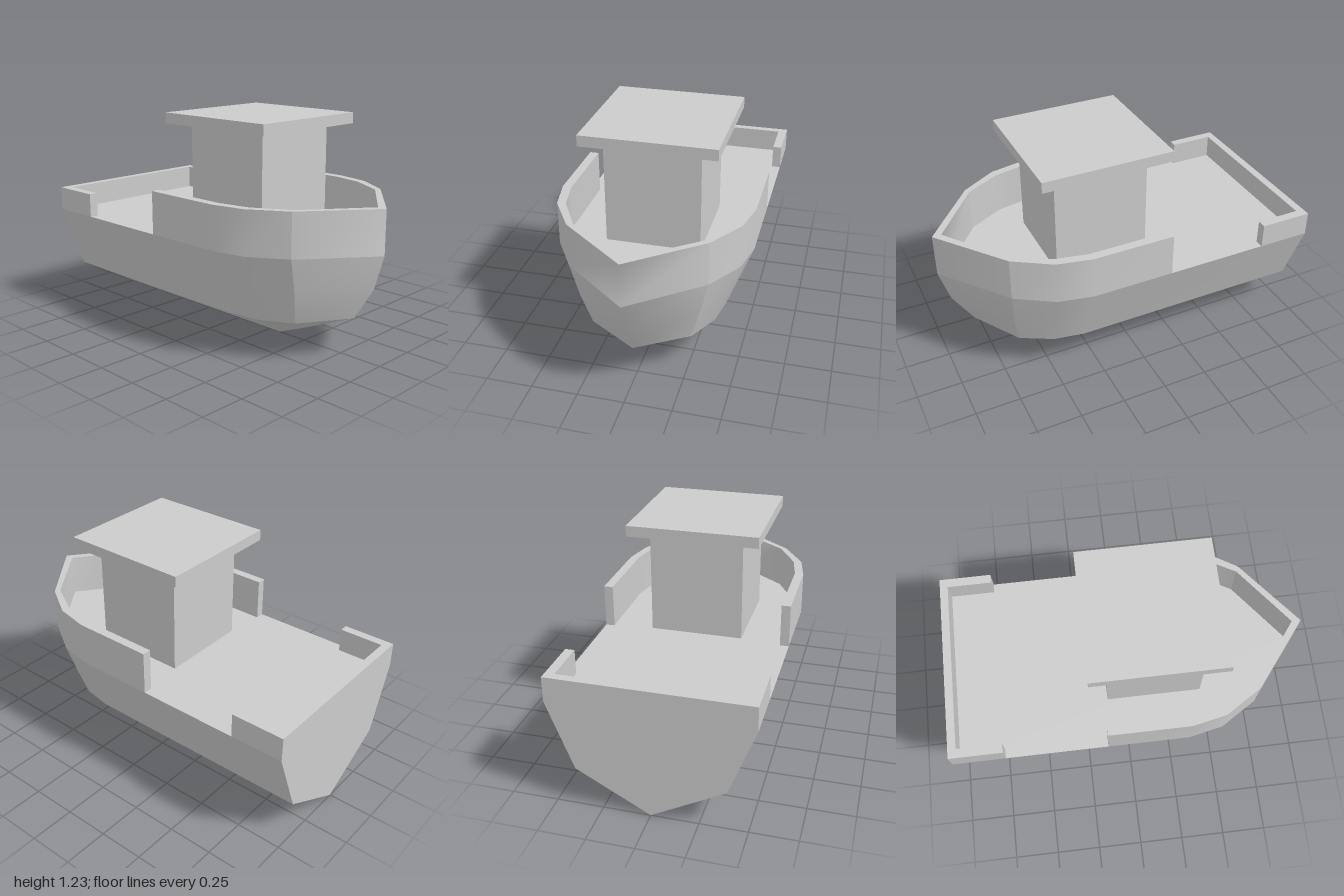
import * as THREE from 'three';
import { mergeGeometries } from 'three/addons/utils/BufferGeometryUtils.js';

const DECK = 0.585;
const material = new THREE.MeshStandardMaterial({ color: 0xcccccc });

// Skin between rows of [x, y, z] points; smooth inside each column range of "splits"
function loft(rows, splits) {
  const last = rows[0].length - 1;
  const cuts = splits ?? Array.from({ length: last + 1 }, (_, i) => i);
  const patches = [];
  for (let s = 0; s + 1 < cuts.length; s++) {
    const part = rows.map(r => r.slice(cuts[s], cuts[s + 1] + 1));
    const n = part[0].length, index = [];
    for (let r = 0; r + 1 < part.length; r++)
      for (let c = 0; c + 1 < n; c++) {
        const a = r * n + c, b = a + n;
        index.push(a, a + 1, b + 1, a, b + 1, b);
      }
    const g = new THREE.BufferGeometry();
    g.setAttribute('position', new THREE.Float32BufferAttribute(part.flat(2), 3));
    g.setIndex(index);
    const flat = g.toNonIndexed();
    if (splits) {
      // smooth normals survive the un-indexing
      g.computeVertexNormals();
      patches.push(g.toNonIndexed());
    } else {
      flat.computeVertexNormals();
      patches.push(flat);
    }
  }
  return mergeGeometries(patches);
}

// Half outline (left side, stern to bow) mirrored into a full run round the bow
const mirror = half => [...half, ...half.slice(0, -1).reverse().map(([x, z]) => [x, -z])];
const at = (outline, y) => outline.map(([x, z]) => [x, y, z]);

function createModel() {
  const model = new THREE.Group();
  const add = (name, geometry) => {
    const mesh = new THREE.Mesh(geometry, material);
    mesh.name = name;
    model.add(mesh);
    return mesh;
  };
  const box = (name, x0, x1, y0, y1, halfZ) =>
    add(name, new THREE.BoxGeometry(x1 - x0, y1 - y0, 2 * halfZ))
      .position.set((x0 + x1) / 2, (y0 + y1) / 2, 0);

  const bowCuts = [0, 3, 5, 8];
  const chine = mirror([[-1, 0.39], [0.32, 0.39], [0.49, 0.36], [0.66, 0.27], [0.83, 0]]);
  const middle = mirror([[-1, 0.46], [0.32, 0.46], [0.505, 0.425], [0.695, 0.32], [0.945, 0]]);
  const rim = mirror([[-1, 0.53], [0.32, 0.53], [0.51, 0.49], [0.71, 0.365], [1, 0]]);

  // Hull sides and V-shaped bottom
  add('hullSides', loft([at(chine, 0.215), at(middle, 0.4), at(rim, DECK)], bowCuts));
  const keel = chine.map(([x]) => [x, Math.max(0, (x - 0.33) * 0.43), 0]);
  add('hullBottom', loft([keel, at(chine, 0.215)]));

  // Flat transom closing the stern
  const transom = new THREE.Shape([[0, 0], [0.39, 0.215], [0.53, DECK], [-0.53, DECK], [-0.39, 0.215]]
    .map(p => new THREE.Vector2(...p)));
  add('transom', new THREE.ShapeGeometry(transom).rotateY(-Math.PI / 2).translate(-1, 0, 0));

  // Deck
  const deck = new THREE.Shape(rim.map(([x, z]) => new THREE.Vector2(x, -z)));
  add('deck', new THREE.ShapeGeometry(deck).rotateX(-Math.PI / 2).translate(0, DECK, 0));

  // Raised wall with thickness, open run with capped ends
  const wall = (name, outer, inner, top, cuts) => {
    const [ob, ot, ib, it] = [at(outer, DECK), at(outer, top), at(inner, DECK), at(inner, top)];
    const e = outer.length - 1;
    add(name, mergeGeometries([
      loft([ob, ot], cuts), loft([ot, it]), loft([it, ib], cuts),
      loft([[ib[0], ob[0]], [it[0], ot[0]]]),
      loft([[ob[e], ib[e]], [ot[e], it[e]]]),
    ]));
  };
  wall('bowBulwark',
    mirror([[-0.135, 0.53], [0.32, 0.53], [0.51, 0.49], [0.71, 0.365], [1, 0]]),
    mirror([[-0.135, 0.48], [0.325, 0.48], [0.5, 0.445], [0.695, 0.335], [0.95, 0]]),
    0.825, bowCuts);
  wall('sternBulwark',
    [[-0.705, -0.53], [-1, -0.53], [-1, 0.53], [-0.705, 0.53]],
    [[-0.705, -0.48], [-0.955, -0.48], [-0.955, 0.48], [-0.705, 0.48]],
    0.72);

  // Wheelhouse
  box('cabin', -0.11, 0.415, DECK, 1.165, 0.258);
  box('cabinRoof', -0.21, 0.515, 1.165, 1.225, 0.36);

  return model;
}

export { createModel };
